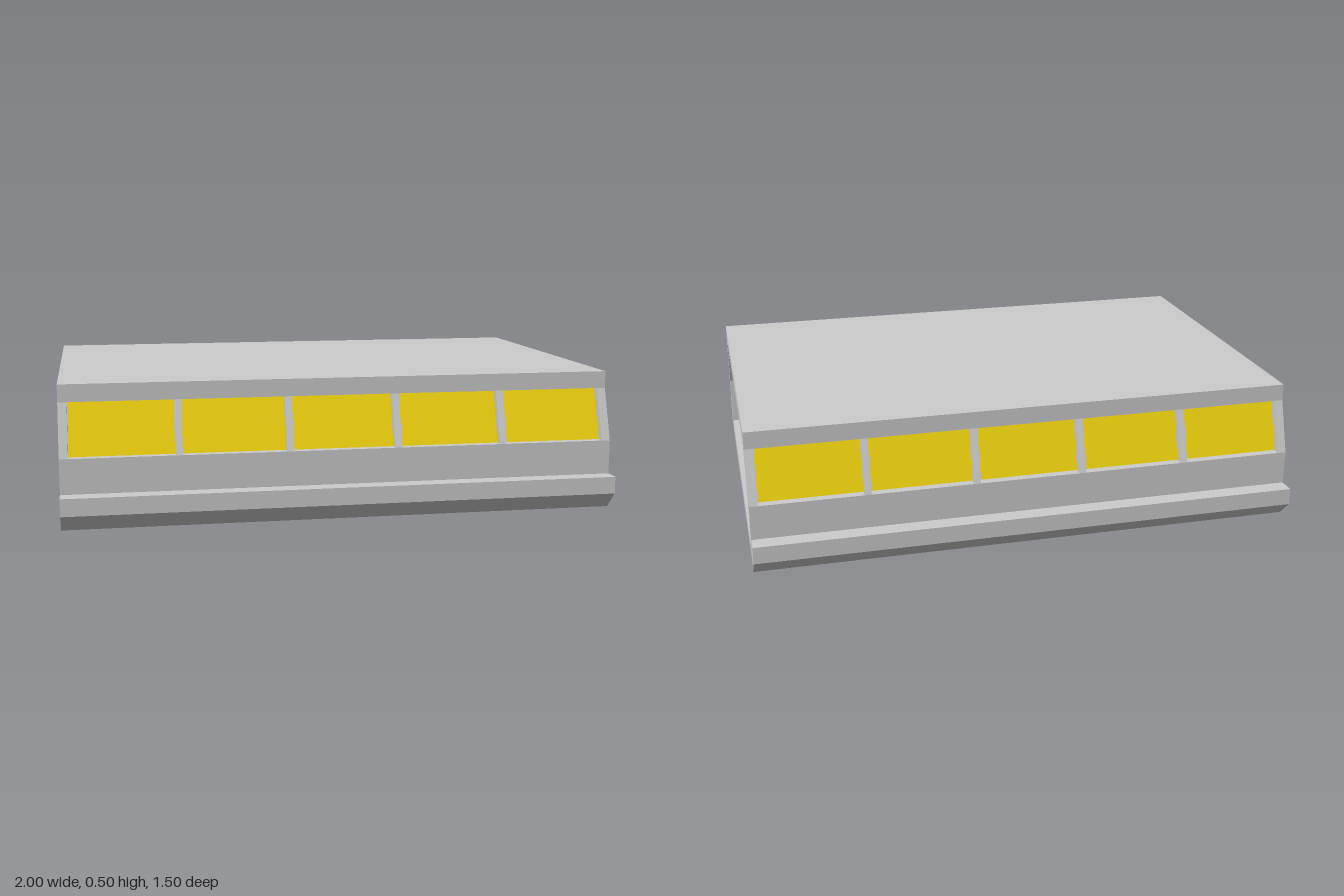
import * as THREE from 'three';

const grey = new THREE.MeshStandardMaterial({ color: 0xcccccc, flatShading: true });
const yellow = new THREE.MeshStandardMaterial({ color: 0xf2d50f, flatShading: true, side: THREE.DoubleSide });

// Sweep a (z, y) cross-section along x between x0 and x1
function sweep(name, points, x0, x1, material = grey) {
  const shape = new THREE.Shape(points.map(([z, y]) => new THREE.Vector2(-z, y)));
  const geometry = new THREE.ExtrudeGeometry(shape, { depth: x1 - x0, bevelEnabled: false });
  geometry.rotateY(Math.PI / 2).translate(x0, 0, 0);
  const mesh = new THREE.Mesh(geometry, material);
  mesh.name = name;
  return mesh;
}

export function createModel() {
  const model = new THREE.Group();
  model.name = 'carriageSection';

  const sill = 0.25, lintel = 0.4375;
  const paneWidth = 0.3675, pitch = 0.3925, count = 5;

  // Floor, side skirts and lower walls as one trough
  const half = [
    [0.6875, 0], [0.75, 0.0625], [0.75, 0.125], [0.6875, 0.125],
    [0.6875, sill], [0.625, sill], [0.625, 0.0625],
  ];
  const mirrored = half.map(([z, y]) => [-z, y]).reverse();
  model.add(sweep('lowerBody', [...half, ...mirrored], -1, 1));

  // Flat roof
  model.add(sweep('roof', [[-0.625, lintel], [0.625, lintel], [0.625, 0.5], [-0.625, 0.5]], -1, 1));

  // Sloping window bands, front and back
  for (const s of [1, -1]) {
    const side = new THREE.Group();
    side.name = s > 0 ? 'frontWindows' : 'backWindows';
    const pillar = [[0.6875, sill], [0.625, lintel], [0.5625, lintel], [0.625, sill]].map(([z, y]) => [s * z, y]);

    // Pillars fill the gaps between panes and at both ends
    for (let i = 0; i <= count; i++) {
      const mid = (i - count / 2) * pitch;
      const gap = (pitch - paneWidth) / 2;
      const x0 = i === 0 ? -1 : mid - gap;
      const x1 = i === count ? 1 : mid + gap;
      side.add(sweep('windowPillar', pillar, x0, x1));
    }

    // Panes sit halfway through the wall thickness
    const rise = lintel - sill, lean = 0.0625;
    for (let i = 0; i < count; i++) {
      const pane = new THREE.Mesh(new THREE.PlaneGeometry(paneWidth, Math.hypot(rise, lean)), yellow);
      pane.name = 'windowPane';
      pane.position.set((i - (count - 1) / 2) * pitch, (sill + lintel) / 2, s * 0.625);
      pane.rotation.x = -s * Math.atan2(lean, rise);
      side.add(pane);
    }
    model.add(side);
  }
  return model;
}
